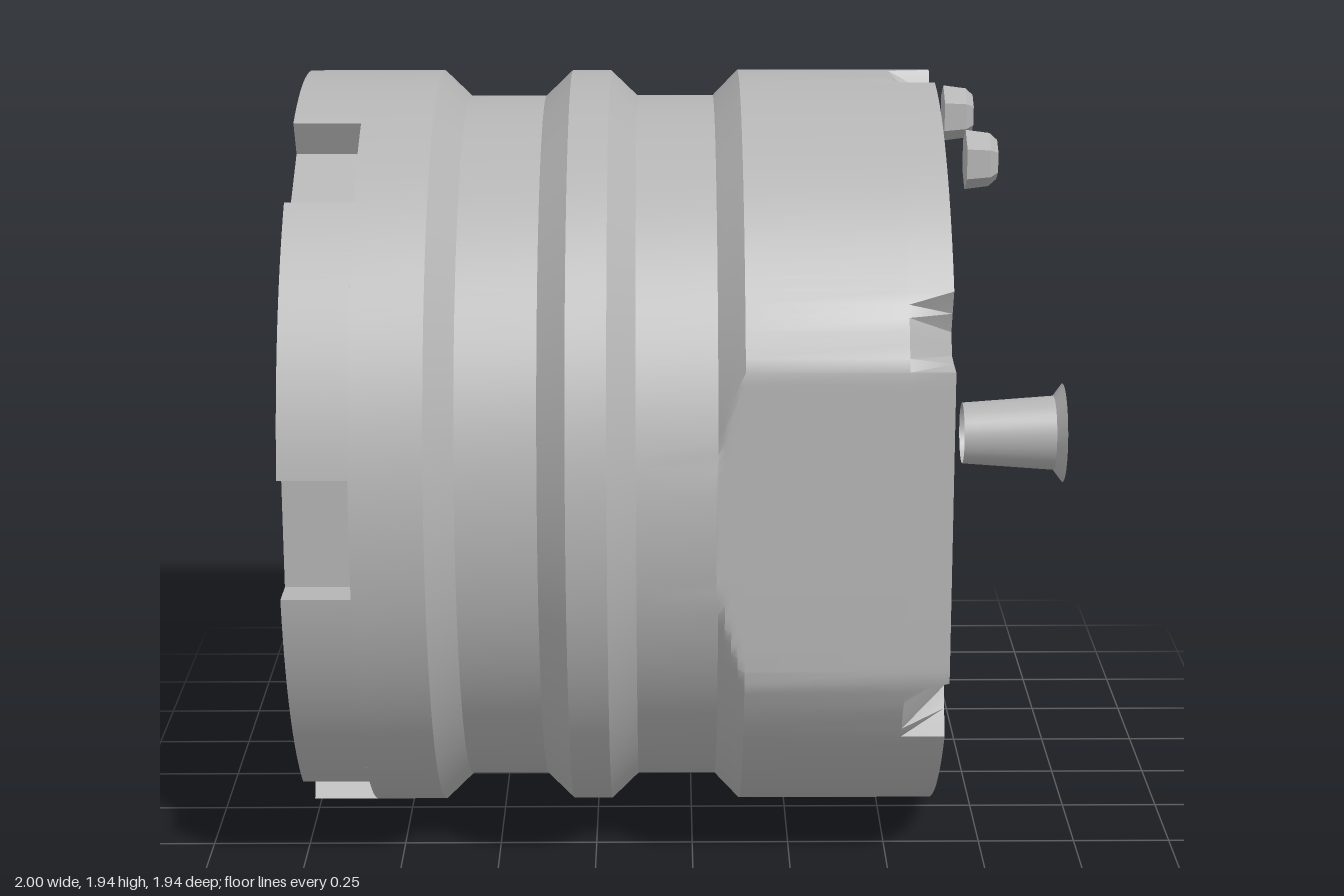
import * as THREE from 'three';
import { toCreasedNormals } from 'three/addons/utils/BufferGeometryUtils.js';

const DEG = Math.PI / 180;
const R = 0.972;          // outer radius
const NOTCH_FLOOR = 0.86; // radius of the notch floor
const NOTCH_HALF = 0.15;  // half width of a notch
const NOTCH_X = -0.83;    // where the notches end along the axis
const clamp = THREE.MathUtils.clamp;

export function createModel() {
  const model = new THREE.Group();
  model.name = 'ribbedHousing';
  const grey = new THREE.MeshStandardMaterial({ color: 0xb4b4b4, side: THREE.DoubleSide });
  grey.name = 'grey metal';

  // The drum is built along local z, which points to world -x
  const drum = new THREE.Group();
  drum.name = 'drum';
  drum.rotation.y = -Math.PI / 2;
  drum.position.y = 0.98;
  model.add(drum);

  function add(name, geometry, parent = drum) {
    const mesh = new THREE.Mesh(geometry, grey);
    mesh.name = name;
    parent.add(mesh);
    return mesh;
  }
  // Profile points are [world x, radius]
  function turned(profile, segments, start = 0, length = Math.PI * 2) {
    const points = profile.map(([x, r]) => new THREE.Vector2(r, x));
    return new THREE.LatheGeometry(points, segments, start, length).rotateX(-Math.PI / 2);
  }
  // A pivot turned about the drum axis
  function spoke(name, degrees) {
    const pivot = new THREE.Group();
    pivot.name = name;
    pivot.rotation.z = degrees * DEG;
    drum.add(pivot);
    return pivot;
  }

  // Ribbed shell with two flat sides and six dents in the open rim
  const shell = turned([
    [NOTCH_X, R], [-0.65, R], [-0.58, 0.905], [-0.38, 0.905], [-0.31, R], [-0.21, R],
    [-0.14, 0.905], [0.055, 0.905], [0.06, 0.905], [0.076, 0.922], [0.092, 0.938],
    [0.108, 0.955], [0.125, R], [0.52, R], [0.63, R],
  ], 180);
  const pos = shell.attributes.position;
  for (let i = 0; i < pos.count; i++) {
    let x = pos.getX(i), y = pos.getY(i);
    const along = -pos.getZ(i);
    const angle = Math.atan2(x, y) / DEG;
    const off = Math.abs(angle - 60 * Math.round(angle / 60)) * DEG * R;
    if (along > 0.058) x = clamp(x, -0.89, 0.89);
    const dent = 0.11 * clamp((0.085 - off) / 0.03, 0, 1) * clamp((along - 0.52) / 0.11, 0, 1);
    pos.setXY(i, x * (1 - dent / R), y * (1 - dent / R));
  }
  add('ribbedShell', toCreasedNormals(shell, 30 * DEG));

  // Notched end band, in six arcs
  const half = Math.asin(NOTCH_HALF / R);
  for (let k = 0; k < 6; k++) {
    add('endBand', turned([[-1, R], [NOTCH_X, R]], 24, (30 + 60 * k) * DEG + half, 60 * DEG - 2 * half));
  }

  // End flange with notched outline, bolt pockets and a large bore
  const outline = new THREE.Shape();
  for (let k = 0; k < 6; k++) {
    const a = 60 * k * DEG;
    const at = (u, v) => [u * Math.cos(a) - v * Math.sin(a), u * Math.sin(a) + v * Math.cos(a)];
    const corner = at(NOTCH_FLOOR, -NOTCH_HALF);
    if (k) outline.lineTo(...corner); else outline.moveTo(...corner);
    outline.lineTo(...at(NOTCH_FLOOR, NOTCH_HALF));
    for (let j = 0; j <= 24; j++) {
      const t = a + half + (60 * DEG - 2 * half) * j / 24;
      outline.lineTo(R * Math.cos(t), R * Math.sin(t));
    }
  }
  outline.closePath();
  function hole(degrees, distance, radius, sides) {
    const path = new THREE.Path();
    const a = degrees * DEG;
    const points = [];
    for (let j = 0; j < sides; j++) {
      const t = a + Math.PI / 2 + j / sides * Math.PI * 2;
      points.push(new THREE.Vector2(
        distance * Math.cos(a) + radius * Math.cos(t),
        distance * Math.sin(a) + radius * Math.sin(t)));
    }
    path.setFromPoints(points);
    path.closePath();
    outline.holes.push(path);
  }
  hole(0, 0, 0.61, 72);

  // Hexagonal cups sunk into the flange
  function pocket(name, degrees, distance, radius, depth) {
    hole(degrees, distance, radius, 6);
    const cup = turned([[0, radius], [depth * 0.5, radius], [depth * 0.9, radius * 0.6], [depth, 0]], 6);
    const mesh = add(name, toCreasedNormals(cup, 0.1), spoke(name + 'Pivot', degrees));
    mesh.position.set(distance, 0, 1);
  }
  for (let k = 0; k < 12; k++) pocket('boltPocket', 15 + 30 * k, 0.83, 0.088, 0.14);
  for (let k = 0; k < 6; k++) {
    pocket('smallPocket', 30 + 60 * k, 0.83, 0.045, 0.06);
    pocket('pinPocket', 60 * k, 0.77, 0.032, 0.04);
  }
  add('endFlange', new THREE.ShapeGeometry(outline)).position.z = 1;
  add('boreLip', turned([[-0.95, 0.555], [-1, 0.61]], 72));

  // Notch walls and the blocks inside the flange
  const depth = 1 + NOTCH_X;
  const midZ = 1 - depth / 2;
  const rimR = R * Math.cos(half);
  const back = new THREE.Shape();
  back.moveTo(NOTCH_FLOOR, -NOTCH_HALF);
  back.lineTo(rimR, -NOTCH_HALF);
  back.absarc(0, 0, R, -half, half, false);
  back.lineTo(NOTCH_FLOOR, NOTCH_HALF);
  back.closePath();
  for (let k = 0; k < 6; k++) {
    const notch = spoke('notch', 60 * k);
    add('notchFloor', new THREE.PlaneGeometry(depth, NOTCH_HALF * 2).rotateY(Math.PI / 2), notch)
      .position.set(NOTCH_FLOOR, 0, midZ);
    add('notchBack', new THREE.ShapeGeometry(back), notch).position.z = 1 - depth;
    for (const s of [-1, 1]) {
      add('notchSide', new THREE.PlaneGeometry(rimR - NOTCH_FLOOR, depth).rotateX(s * Math.PI / 2), notch)
        .position.set((rimR + NOTCH_FLOOR) / 2, s * NOTCH_HALF, midZ);
    }
    const block = spoke('innerBlockPivot', 30 + 60 * k);
    add('innerBlock', new THREE.BoxGeometry(0.15, 0.21, 0.17), block).position.set(0.865, 0, 0.85);
  }

  // Flared sleeve on the axis, in front of the open end
  const sleeve = turned([[0.73, 0.082], [0.975, 0.1], [1, 0.133]], 32);
  add('flaredSleeve', toCreasedNormals(sleeve, 30 * DEG));

  // Two tapered hexagonal studs near the top
  for (const s of [-1, 1]) {
    const stud = turned([[0.69, 0], [0.69, 0.076], [0.75, 0.068], [0.77, 0.05], [0.77, 0]], 6);
    add('stud', toCreasedNormals(stud, 0.1)).position.set(s * 0.34, 0.81, 0);
  }
  return model;
}
